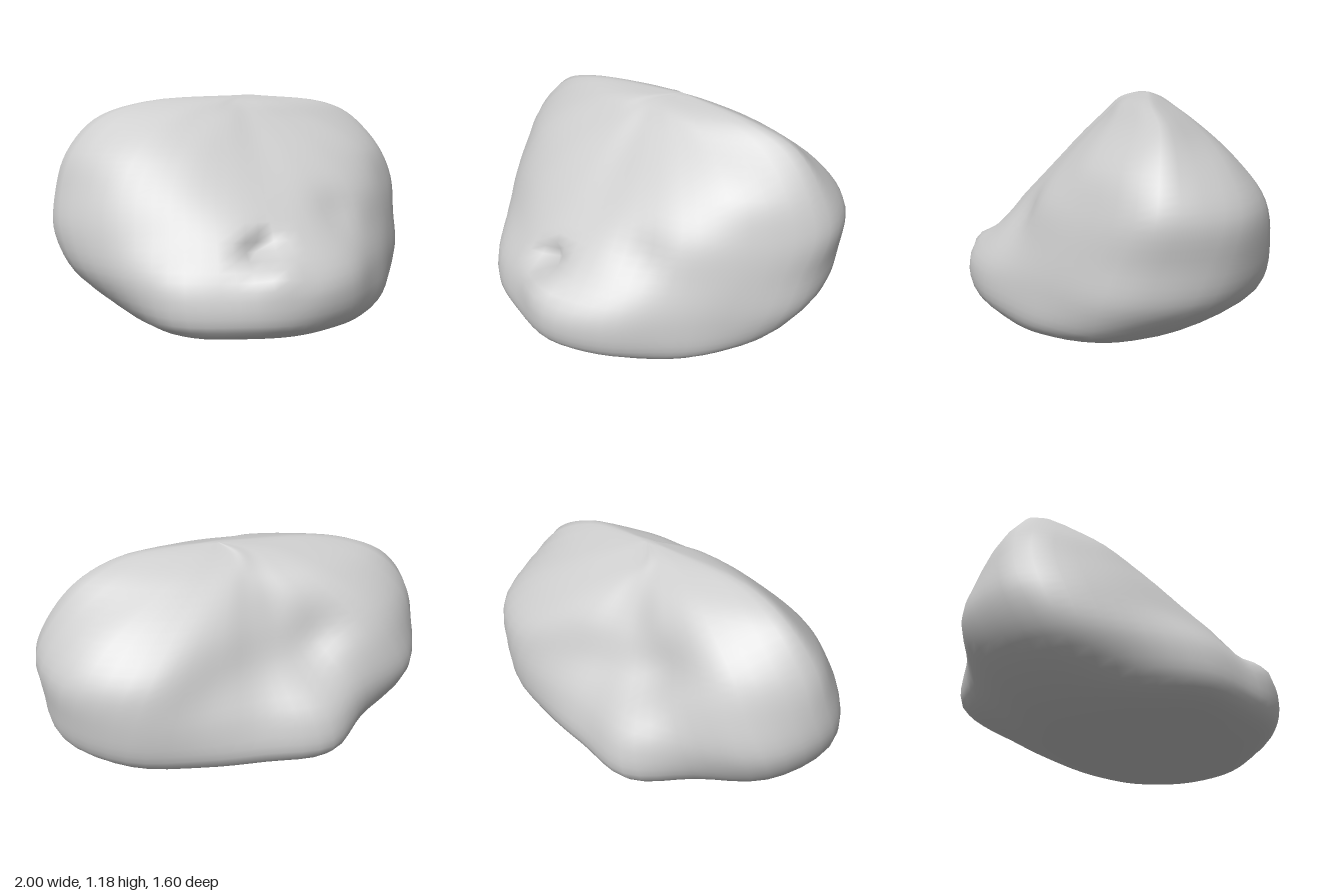
import * as THREE from 'three';
import { mergeVertices } from 'three/addons/utils/BufferGeometryUtils.js';

const AROUND = 64, UP = 45;

// Horizontal sections of the boulder: height, centre z, and 16 radii
// going round from +x over the front (+z), -x and the back (-z).
const sections = [
  { y: 0.03, z: 0.17, r: [0.52, 0.52, 0.48, 0.42, 0.40, 0.40, 0.40, 0.38, 0.34, 0.34, 0.33, 0.33, 0.33, 0.38, 0.46, 0.52] },
  { y: 0.12, z: 0.05, r: [0.82, 0.74, 0.68, 0.69, 0.72, 0.72, 0.77, 0.72, 0.68, 0.66, 0.60, 0.57, 0.54, 0.57, 0.66, 0.78] },
  { y: 0.30, z: 0.00, r: [0.95, 0.79, 0.72, 0.75, 0.79, 0.76, 0.82, 0.84, 0.91, 0.89, 0.79, 0.84, 0.76, 0.79, 0.91, 0.99] },
  { y: 0.50, z: -0.08, r: [0.98, 0.82, 0.72, 0.69, 0.68, 0.71, 0.76, 0.87, 0.99, 0.94, 0.77, 0.74, 0.65, 0.71, 0.88, 1.00] },
  { y: 0.70, z: -0.15, r: [1.00, 0.82, 0.70, 0.60, 0.56, 0.60, 0.70, 0.84, 0.97, 0.84, 0.62, 0.46, 0.44, 0.53, 0.77, 0.96] },
  { y: 0.88, z: -0.17, r: [0.92, 0.74, 0.55, 0.44, 0.40, 0.44, 0.55, 0.74, 0.91, 0.72, 0.46, 0.33, 0.33, 0.41, 0.57, 0.80] },
  { y: 1.05, z: -0.18, r: [0.77, 0.50, 0.33, 0.26, 0.24, 0.27, 0.34, 0.52, 0.76, 0.46, 0.27, 0.20, 0.19, 0.22, 0.29, 0.48] },
  { y: 1.14, z: -0.15, r: [0.55, 0.26, 0.16, 0.12, 0.11, 0.12, 0.17, 0.27, 0.50, 0.23, 0.14, 0.11, 0.11, 0.11, 0.14, 0.25] },
];

// Local pits and swellings: centre, reach, and the push at the centre
const dents = [
  { at: [-0.14, 0.46, 0.62], reach: 0.07, push: [0, -0.02, -0.11] },
  { at: [-0.10, 0.36, 0.74], reach: 0.09, push: [0, 0.02, 0.02] },
  { at: [0.32, 0.58, 0.44], reach: 0.12, push: [0, -0.01, -0.03] },
  { at: [-0.32, 0.78, -0.50], reach: 0.13, push: [0, -0.03, 0.05] },
];

function applyDents(p) {
  const start = p.clone();
  for (const d of dents) {
    const near = start.distanceTo(new THREE.Vector3(...d.at)) / d.reach;
    p.addScaledVector(new THREE.Vector3(...d.push), Math.exp(-near * near));
  }
  return p;
}

function boulderGeometry() {
  // Closed curve round each section
  const rings = sections.map(({ y, z, r }) => {
    const points = r.map((radius, i) => {
      const a = (i / r.length) * Math.PI * 2;
      return new THREE.Vector3(Math.cos(a) * radius, y, z + Math.sin(a) * radius);
    });
    return new THREE.CatmullRomCurve3(points, true);
  });
  const bottom = new THREE.Vector3(0.1, 0, 0.2);
  const top = new THREE.Vector3(0.1, 1.18, -0.17);

  // Upright curve through all sections at each step round
  const positions = [], index = [];
  for (let j = 0; j < AROUND; j++) {
    const column = new THREE.CatmullRomCurve3(
      [bottom, ...rings.map((ring) => ring.getPoint(j / AROUND)), top]);
    for (let i = 0; i <= UP; i++) {
      const p = applyDents(column.getPoint(i / UP));
      positions.push(p.x, Math.max(p.y, 0), p.z);
    }
  }
  const id = (i, j) => (j % AROUND) * (UP + 1) + i;
  for (let j = 0; j < AROUND; j++) {
    for (let i = 0; i < UP; i++) {
      const a = id(i, j), b = id(i, j + 1), c = id(i + 1, j), d = id(i + 1, j + 1);
      if (i > 0) index.push(a, c, b);
      if (i < UP - 1) index.push(b, c, d);
    }
  }
  const geometry = new THREE.BufferGeometry();
  geometry.setAttribute('position', new THREE.Float32BufferAttribute(positions, 3));
  geometry.setIndex(index);
  const welded = mergeVertices(geometry);
  welded.computeVertexNormals();
  return welded;
}

export function createModel() {
  const group = new THREE.Group();
  group.name = 'rock';
  const boulder = new THREE.Mesh(
    boulderGeometry(), new THREE.MeshStandardMaterial({ color: 0xcccccc }));
  boulder.name = 'boulder';
  group.add(boulder);
  return group;
}
